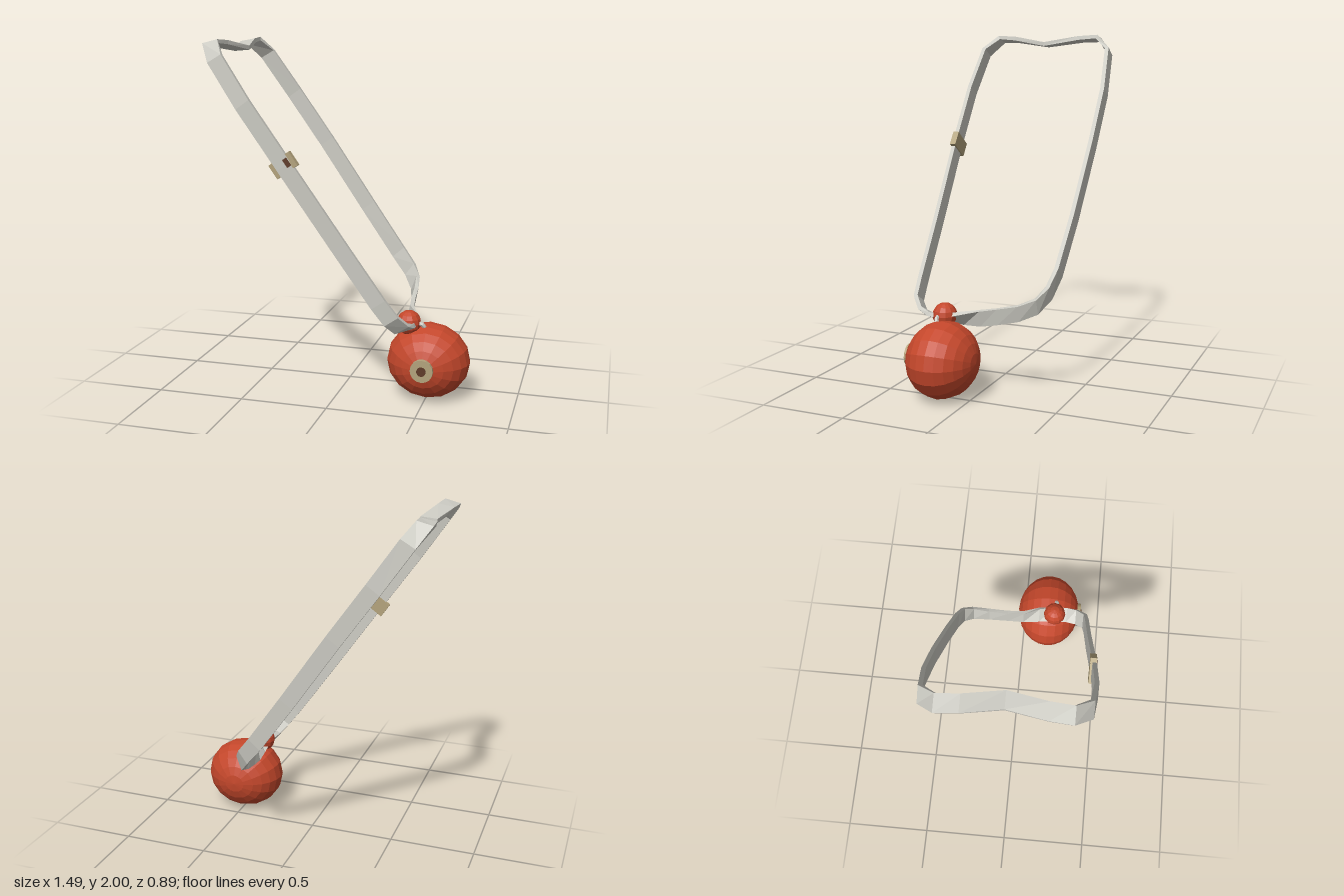
import * as THREE from 'three';

const mat = (name, color) => {
  const m = new THREE.MeshStandardMaterial({ color, flatShading: true });
  m.name = name;
  return m;
};

// Closed flat band; each station is [x, y, z, tilt of the width direction in degrees]
function bandGeometry(stations, halfWidth, halfThick) {
  const n = stations.length;
  const at = (i) => new THREE.Vector3(...stations[(i + n) % n].slice(0, 3));
  const pos = [], index = [];
  for (let i = 0; i < n; i++) {
    const c = at(i);
    const tangent = at(i + 1).sub(at(i - 1)).normalize();
    const a = THREE.MathUtils.degToRad(stations[i][3]);
    const w = new THREE.Vector3(Math.cos(a), Math.sin(a), 0);
    const t = tangent.clone().cross(w).normalize();
    for (const [u, v] of [[1, 1], [-1, 1], [-1, -1], [1, -1]]) {
      const p = c.clone().addScaledVector(w, u * halfWidth).addScaledVector(t, v * halfThick);
      pos.push(p.x, p.y, p.z);
    }
    const j = (i + 1) % n;
    for (let k = 0; k < 4; k++) {
      const l = (k + 1) % 4;
      index.push(i * 4 + k, i * 4 + l, j * 4 + k, i * 4 + l, j * 4 + l, j * 4 + k);
    }
  }
  const g = new THREE.BufferGeometry();
  g.setAttribute('position', new THREE.Float32BufferAttribute(pos, 3));
  g.setIndex(index);
  g.computeVertexNormals();
  return g;
}

export function createModel() {
  const group = new THREE.Group();
  const strapGrey = mat('strapGrey', 0xcbcac2);
  const red = mat('red', 0xc4472b);
  const tan = mat('tan', 0xb3a37c);
  const brown = mat('brown', 0x5e3b28);

  const add = (name, geometry, material, x = 0, y = 0, z = 0, parent = group) => {
    const mesh = new THREE.Mesh(geometry, material);
    mesh.name = name;
    mesh.position.set(x, y, z);
    parent.add(mesh);
    return mesh;
  };

  // Strap: top edge, down the front side, round the bottom, up the back side
  const strap = [
    [-0.65, 1.94, 0, 5],
    [-0.695, 1.972, 0.21, 10],
    [-0.705, 1.977, 0.325, 14],
    [-0.645, 1.895, 0.408, 30],
    [-0.48, 1.655, 0.434, 35],
    [-0.25, 1.33, 0.43, 35],
    [0.05, 0.9, 0.413, 35],
    [0.27, 0.59, 0.404, 35],
    [0.34, 0.5, 0.395, 35],
    [0.385, 0.445, 0.345, 32],
    [0.4, 0.428, 0.28, 20],
    [0.4, 0.425, 0.2, 20],
    [0.388, 0.425, 0.1, 50],
    [0.363, 0.43, 0, 78],
    [0.353, 0.447, -0.1, 82],
    [0.343, 0.475, -0.22, 78],
    [0.325, 0.52, -0.32, 70],
    [0.28, 0.59, -0.375, 55],
    [0.2, 0.69, -0.4, 42],
    [0, 0.97, -0.42, 35],
    [-0.27, 1.36, -0.434, 35],
    [-0.48, 1.655, -0.434, 35],
    [-0.645, 1.895, -0.408, 30],
    [-0.705, 1.977, -0.325, 14],
    [-0.695, 1.972, -0.21, 10],
  ];
  add('strap', bandGeometry(strap, 0.046, 0.012), strapGrey);

  // Buckle plate behind the strap with a pin in front
  const buckle = new THREE.Group();
  buckle.name = 'buckle';
  buckle.position.set(-0.255, 1.335, 0.42);
  buckle.rotation.z = THREE.MathUtils.degToRad(35);
  group.add(buckle);
  add('bucklePlate', new THREE.BoxGeometry(0.145, 0.088, 0.025), tan, 0, 0, 0, buckle);
  add('buckleFrame', new THREE.BoxGeometry(0.03, 0.088, 0.036), tan, 0.057, 0, 0.004, buckle);
  add('bucklePin', new THREE.BoxGeometry(0.026, 0.05, 0.012), brown, 0.03, 0, 0.021, buckle);

  // Large hanging ball, poles facing front and back
  const ball = add('ball', new THREE.SphereGeometry(1, 16, 12).rotateX(Math.PI / 2), red, 0.505, 0.215, 0.16);
  ball.scale.set(0.236, 0.215, 0.2);

  // Round front fitting and its dark centre
  const disc = (r, h) => new THREE.CylinderGeometry(r, r, h, 16).rotateX(Math.PI / 2);
  add('fitting', disc(0.064, 0.024), tan, 0.505, 0.218, 0.36);
  add('fittingCentre', disc(0.026, 0.024), brown, 0.505, 0.218, 0.367);

  // Small bead on the strap and the cord joining it to the ball
  add('bead', new THREE.SphereGeometry(0.07, 12, 8), red, 0.398, 0.438, 0.2);
  const cord = new THREE.CatmullRomCurve3([
    new THREE.Vector3(0.44, 0.44, 0.21),
    new THREE.Vector3(0.476, 0.436, 0.212),
    new THREE.Vector3(0.495, 0.405, 0.2),
  ]);
  add('cord', new THREE.TubeGeometry(cord, 6, 0.012, 6, false), strapGrey);

  return group;
}
